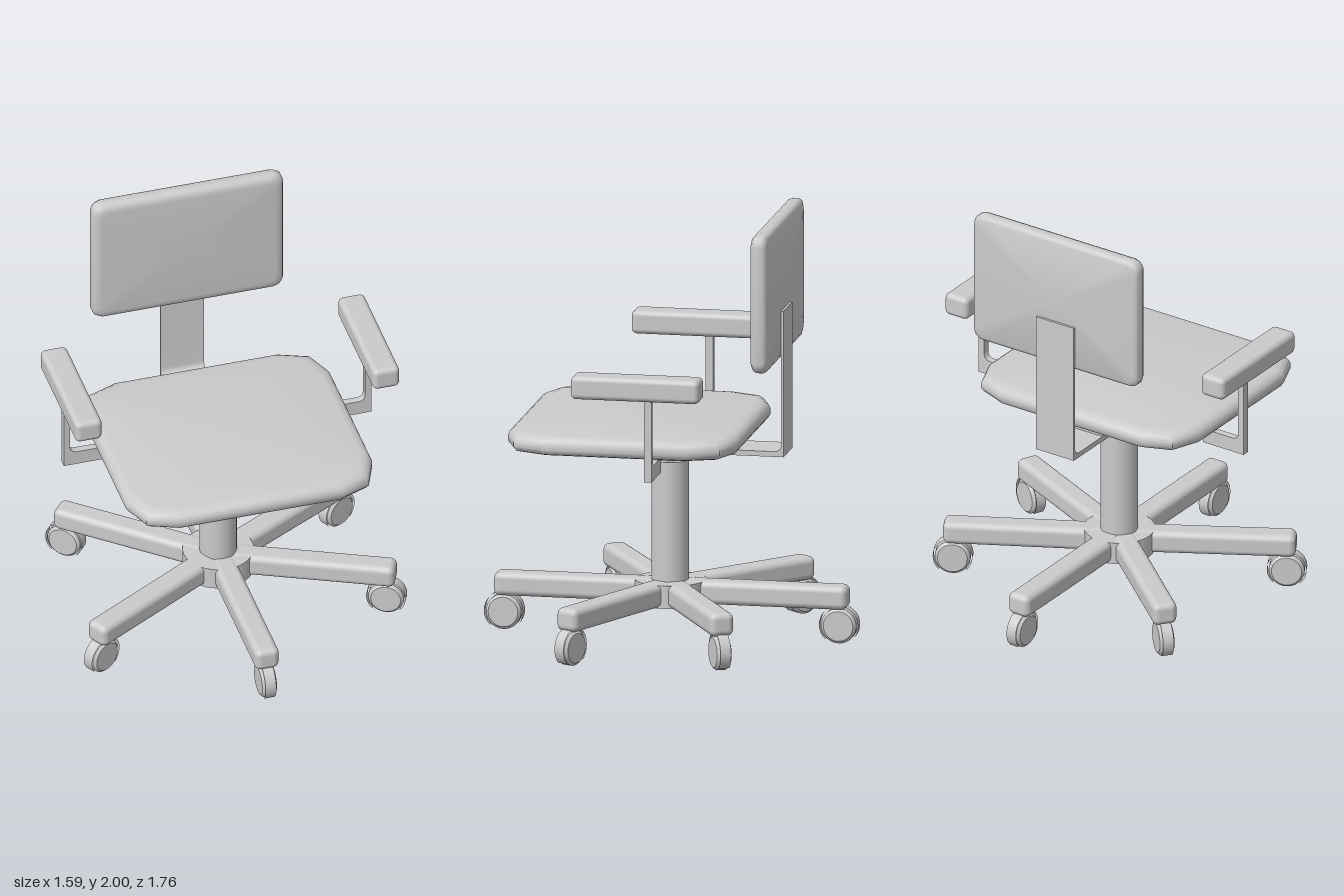
import * as THREE from 'three';
import { toCreasedNormals } from 'three/addons/utils/BufferGeometryUtils.js';
import { RoundedBoxGeometry } from 'three/addons/geometries/RoundedBoxGeometry.js';

const grey = new THREE.MeshStandardMaterial({ color: 0xcccccc });
const thin = new THREE.MeshStandardMaterial({ color: 0xcccccc, side: THREE.DoubleSide });

function add(parent, name, geometry, x = 0, y = 0, z = 0, material = grey) {
  const mesh = new THREE.Mesh(geometry, material);
  mesh.name = name;
  mesh.position.set(x, y, z);
  parent.add(mesh);
  return mesh;
}

// Padded slab: an outline (centred, counter-clockwise) swept along z through
// [inset, height] steps; an inset of null closes the surface at the centre.
function cushion(outline, hx, hy, steps, crease) {
  const n = outline.length, pos = [], idx = [];
  steps.forEach(([inset, z], k) => {
    const sx = inset === null ? 0 : 1 - inset / hx;
    const sy = inset === null ? 0 : 1 - inset / hy;
    outline.forEach(([x, y], i) => {
      pos.push(x * sx, y * sy, z);
      if (k === steps.length - 1) return;
      const a = k * n + i, b = k * n + (i + 1) % n;
      if (inset !== null) idx.push(a, b, b + n);
      if (steps[k + 1][0] !== null) idx.push(a, b + n, a + n);
    });
  });
  const g = new THREE.BufferGeometry();
  g.setAttribute('position', new THREE.Float32BufferAttribute(pos, 3));
  g.setIndex(idx);
  return toCreasedNormals(g, crease);
}

// Repeats one corner (points in the +x +y quadrant, counter-clockwise) four times
function mirrorCorner(corner) {
  const rev = [...corner].reverse();
  return [
    ...corner,
    ...rev.map(([x, y]) => [-x, y]),
    ...corner.map(([x, y]) => [-x, -y]),
    ...rev.map(([x, y]) => [x, -y]),
  ];
}

function extrudeCentred(shape, depth) {
  const g = new THREE.ExtrudeGeometry(shape, { depth, bevelEnabled: false, curveSegments: 6 });
  g.translate(0, 0, -depth / 2);
  return toCreasedNormals(g, 0.6);
}

// L-shaped strip with a filleted inner corner; s = 1 or -1 picks the side
function angleStrip(s, inner, outer, bottom, footTop, top, thick) {
  const r = 0.035, w = outer - thick;
  const shape = new THREE.Shape();
  shape.moveTo(s * inner, bottom);
  shape.lineTo(s * outer, bottom);
  shape.lineTo(s * outer, top);
  shape.lineTo(s * w, top);
  shape.lineTo(s * w, footTop + r);
  shape.quadraticCurveTo(s * w, footTop, s * (w - r), footTop);
  shape.lineTo(s * inner, footTop);
  return shape;
}

function makeCaster() {
  const caster = new THREE.Group();
  caster.name = 'caster';
  const r = 0.083;
  const profile = [[0, -0.035], [0.07, -0.035], [r, -0.022], [r, 0.022], [0.07, 0.035], [0, 0.035]];
  const wheel = new THREE.LatheGeometry(profile.map(([x, y]) => new THREE.Vector2(x, y)), 28);
  wheel.rotateX(Math.PI / 2);
  add(caster, 'wheel', toCreasedNormals(wheel, 0.5), 0, r, 0);
  // Thin guard wrapped around the wheel, open at the bottom
  const hood = new THREE.CylinderGeometry(0.092, 0.092, 0.052, 28, 1, true, 0.75, 2 * Math.PI - 1.5);
  hood.rotateX(Math.PI / 2);
  add(caster, 'wheelHood', hood, 0, r + 0.003, 0, thin);
  return caster;
}

export function createModel() {
  const chair = new THREE.Group();
  chair.name = 'officeChair';
  const cx = -0.02, cz = 0.015;

  // Star base: hub, six legs and their casters
  const base = new THREE.Group();
  base.name = 'base';
  base.position.set(cx, 0, cz);
  chair.add(base);
  add(base, 'hub', new THREE.CylinderGeometry(0.165, 0.165, 0.108, 40), 0, 0.214, 0);
  // [angle in degrees from +x towards -z, length]
  const legs = [[28.6, 0.815], [90, 0.84], [139.5, 0.815], [210, 0.82], [270, 0.825], [335.5, 0.83]];
  for (const [deg, length] of legs) {
    const leg = new THREE.Group();
    leg.name = 'legWithCaster';
    leg.rotation.y = THREE.MathUtils.degToRad(deg);
    base.add(leg);
    add(leg, 'leg', new RoundedBoxGeometry(length - 0.06, 0.11, 0.115, 4, 0.03), (length + 0.06) / 2, 0.217, 0);
    const caster = makeCaster();
    caster.position.x = length - 0.043;
    leg.add(caster);
  }

  // Column
  add(chair, 'columnSleeve', new THREE.CylinderGeometry(0.087, 0.087, 0.6, 36), cx, 0.535, cz);
  add(chair, 'columnPiston', new THREE.CylinderGeometry(0.055, 0.055, 0.08, 30), cx, 0.86, cz);

  // Seat with clipped corners and a soft edge
  const seatOutline = mirrorCorner([[0.592, 0.345], [0.535, 0.485], [0.395, 0.54]]);
  const seat = cushion(seatOutline, 0.592, 0.54, [
    [null, 0], [0.03, 0], [0.012, 0.007], [0, 0.025], [0, 0.05],
    [0.008, 0.07], [0.026, 0.084], [0.055, 0.09], [null, 0.084],
  ], 0.75);
  seat.rotateX(-Math.PI / 2);
  add(chair, 'seat', seat, -0.013, 0.955, 0.16);

  // Backrest with rounded corners, front slightly dished
  const corner = [];
  const hx = 0.46, hy = 0.325, cr = 0.05;
  for (let i = 0; i <= 6; i++) {
    const a = (i / 6) * Math.PI / 2;
    corner.push([hx - cr + cr * Math.cos(a), hy - cr + cr * Math.sin(a)]);
  }
  const back = cushion(mirrorCorner(corner), hx, hy, [
    [null, 0], [0.022, 0], [0.007, 0.006], [0, 0.02], [0, 0.05],
    [0.007, 0.066], [0.022, 0.076], [0.042, 0.079], [null, 0.062],
  ], 0.75);
  add(chair, 'backrest', back, -0.025, 1.675, -0.525);

  // Block under the seat and the bent strip that carries the backrest
  add(chair, 'seatMount', new THREE.BoxGeometry(0.21, 0.07, 0.665), -0.035, 0.92, 0.0325);
  const strip = extrudeCentred(angleStrip(1, 0.29, 0.536, 0.885, 0.91, 1.575, 0.011), 0.21);
  strip.rotateY(Math.PI / 2);
  add(chair, 'backSupport', strip, -0.035, 0, 0);

  // Armrests: bracket under the seat, post and pad
  for (const s of [1, -1]) {
    const arm = new THREE.Group();
    arm.name = s > 0 ? 'leftArm' : 'rightArm';
    arm.position.x = -0.015;
    chair.add(arm);
    add(arm, 'armBracket', extrudeCentred(angleStrip(s, 0.512, 0.74, 0.885, 0.955, 1.29, 0.03), 0.035), 0, 0, -0.0275);
    add(arm, 'armPad', new RoundedBoxGeometry(0.128, 0.11, 0.605, 4, 0.025), s * 0.716, 1.325, 0.028);
  }
  return chair;
}
